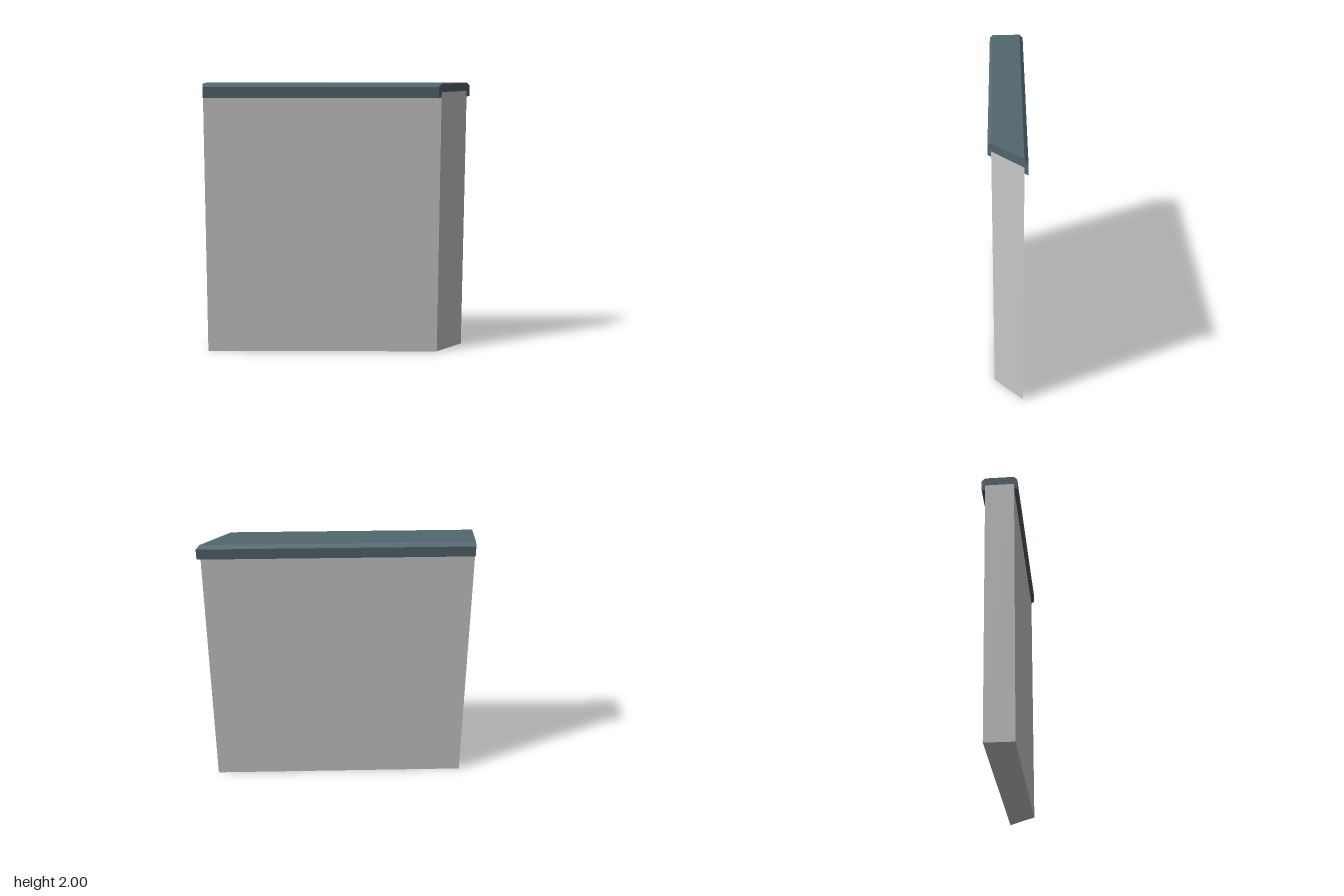
import * as THREE from 'three';

const MITRE_X = 0.69; // plane where the wall is cut at 45 degrees
const END = 1.293; // square end lies on the line z - x = END

// Sweeps a cross-section along the diagonal: square at one end, mitred at the other.
// Profile points are [s, y], where s = x + z measures across the wall.
function diagonalPrism(name, profile, color) {
  const shape = new THREE.Shape(profile.map(([s, y]) => new THREE.Vector2(s, y)));
  const geometry = new THREE.ExtrudeGeometry(shape, { depth: 1, bevelEnabled: false });
  const pos = geometry.attributes.position;
  for (let i = 0; i < pos.count; i++) {
    const s = pos.getX(i);
    const x = THREE.MathUtils.lerp(MITRE_X, (s - END) / 2, pos.getZ(i));
    pos.setXYZ(i, x, pos.getY(i), s - x);
  }
  geometry.computeVertexNormals();
  const mesh = new THREE.Mesh(geometry, new THREE.MeshStandardMaterial({ color, flatShading: true }));
  mesh.name = name;
  return mesh;
}

export function createModel() {
  const group = new THREE.Group();
  group.name = 'cappedWall';
  const back = -0.055, front = 0.237, top = 1.94; // wall faces
  const capBack = -0.09, capFront = 0.27; // coping overhang

  group.add(diagonalPrism('wall', [
    [back, 0], [front, 0], [front, top], [back, top],
  ], 0xcccccc));

  // Coping: chamfered top edges and lips that hang over both wall faces
  group.add(diagonalPrism('coping', [
    [capBack, 1.9], [back, 1.9], [back, top], [front, top], [front, 1.9],
    [capFront, 1.9], [capFront, 1.977], [front, 2], [back, 2], [capBack, 1.977],
  ], 0x53666f));

  return group;
}
